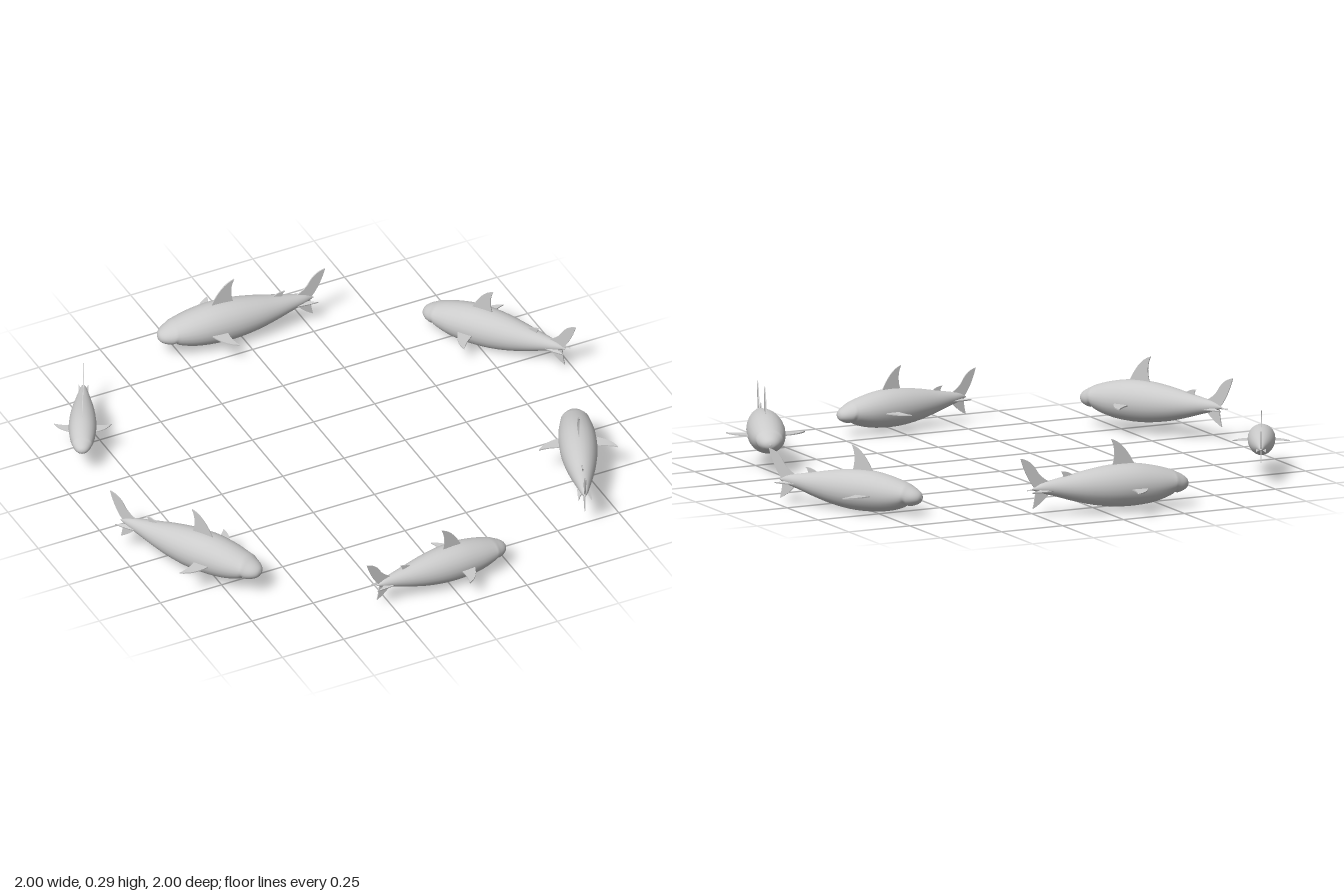
import * as THREE from 'three';

const skin = new THREE.MeshStandardMaterial({ color: 0xcccccc, side: THREE.DoubleSide });

// Body stations for a shark of length 1: [distance from nose, half width, top, bottom]
const STATIONS = [
  [0, 0.001, -0.014, -0.016], [0.008, 0.03, 0.008, -0.04], [0.03, 0.055, 0.028, -0.056],
  [0.07, 0.077, 0.05, -0.068], [0.09, 0.085, 0.06, -0.062], [0.11, 0.09, 0.068, -0.078],
  [0.2, 0.108, 0.095, -0.108], [0.32, 0.118, 0.116, -0.122], [0.45, 0.114, 0.116, -0.12],
  [0.58, 0.096, 0.1, -0.1], [0.7, 0.07, 0.077, -0.068], [0.8, 0.045, 0.058, -0.036],
  [0.88, 0.024, 0.04, -0.012], [0.93, 0.002, 0.014, 0.01],
];

// Smooth hull skinned over elliptical cross-sections
function bodyGeometry() {
  const sides = 24, rings = 48;
  const spline = (k) => new THREE.CatmullRomCurve3(STATIONS.map((s) => new THREE.Vector3(s[0], s[k], 0)));
  const [width, top, bottom] = [spline(1), spline(2), spline(3)];
  const pos = [], index = [];
  for (let i = 0; i <= rings; i++) {
    const t = i / rings;
    const x = width.getPoint(t).x, w = Math.max(width.getPoint(t).y, 0.001);
    const hi = top.getPoint(t).y, lo = bottom.getPoint(t).y;
    for (let j = 0; j < sides; j++) {
      const a = (j / sides) * Math.PI * 2;
      pos.push(x, (hi + lo) / 2 + Math.cos(a) * (hi - lo) / 2, Math.sin(a) * w);
      if (i === rings) continue;
      const p = i * sides + j, q = i * sides + (j + 1) % sides;
      index.push(p, q, p + sides, q, q + sides, p + sides);
    }
  }
  const geo = new THREE.BufferGeometry();
  geo.setAttribute('position', new THREE.Float32BufferAttribute(pos, 3));
  geo.setIndex(index);
  geo.computeVertexNormals();
  return geo;
}

// Thin fin: start point, then curves given as [controlX, controlY, x, y]
function finGeometry(start, curves) {
  const shape = new THREE.Shape();
  shape.moveTo(...start);
  curves.forEach((c) => shape.quadraticCurveTo(...c));
  const geo = new THREE.ExtrudeGeometry(shape, { depth: 0.007, bevelEnabled: false, curveSegments: 8 });
  return geo.translate(0, 0, -0.0035);
}

const PARTS = {
  body: bodyGeometry(),
  dorsalFin: finGeometry([0.31, 0.09], [[0.375, 0.24, 0.458, 0.262], [0.42, 0.19, 0.458, 0.09]]),
  secondDorsalFin: finGeometry([0.68, 0.07], [[0.71, 0.1, 0.76, 0.1], [0.735, 0.08, 0.75, 0.055]]),
  tailFin: finGeometry([0.8, 0.035], [
    [0.88, 0.07, 0.905, 0.12], [0.94, 0.18, 1, 0.19], [0.965, 0.07, 0.91, 0.01],
    [0.915, -0.05, 0.928, -0.1], [0.87, -0.07, 0.82, -0.01],
  ]),
  // Side fins are drawn flat, then laid into the horizontal plane
  pectoralFin: finGeometry([0.275, 0.09], [[0.31, 0.21, 0.395, 0.245], [0.365, 0.17, 0.38, 0.09]]),
  pelvicFin: finGeometry([0.77, 0.03], [[0.84, 0.05, 0.945, 0.042], [0.9, 0.03, 0.88, 0.01]]),
};

function makeShark(nose, tail, height) {
  const shark = new THREE.Group();
  const add = (name, part = name) => {
    const mesh = new THREE.Mesh(PARTS[part], skin);
    mesh.name = name;
    shark.add(mesh);
    return mesh;
  };
  ['body', 'dorsalFin', 'secondDorsalFin', 'tailFin'].forEach((n) => add(n));
  for (const [side, dir] of [['left', -1], ['right', 1]]) {
    const pectoral = add(side + 'PectoralFin', 'pectoralFin');
    pectoral.rotation.x = dir * Math.PI / 2;
    pectoral.position.y = -0.012;
    const pelvic = add(side + 'PelvicFin', 'pelvicFin');
    pelvic.rotation.x = dir * (Math.PI / 2 + 0.3);
    pelvic.position.y = 0.01;
  }
  // Place by nose and tail tip on the ground plan
  const dx = tail[0] - nose[0], dz = tail[1] - nose[1];
  shark.scale.setScalar(Math.hypot(dx, dz));
  shark.rotation.y = Math.atan2(-dz, dx);
  shark.position.set(nose[0], height, nose[1]);
  return shark;
}

export function createModel() {
  const model = new THREE.Group();
  model.name = 'circlingSharks';
  // [nose x,z], [tail x,z], height of body axis
  const school = [
    [[-0.33, -0.869], [0.326, -0.81], 0.1],
    [[-0.914, -0.316], [-0.717, -0.698], 0.13],
    [[0.631, -0.612], [1, -0.104], 0.08],
    [[-0.652, 0.628], [-1, 0.088], 0.12],
    [[0.807, 0.265], [0.583, 0.815], 0.135],
    [[0.241, 0.837], [-0.342, 0.874], 0.09],
  ];
  school.forEach(([nose, tail, height], i) => {
    const shark = makeShark(nose, tail, height);
    shark.name = 'shark' + (i + 1);
    model.add(shark);
  });
  return model;
}
